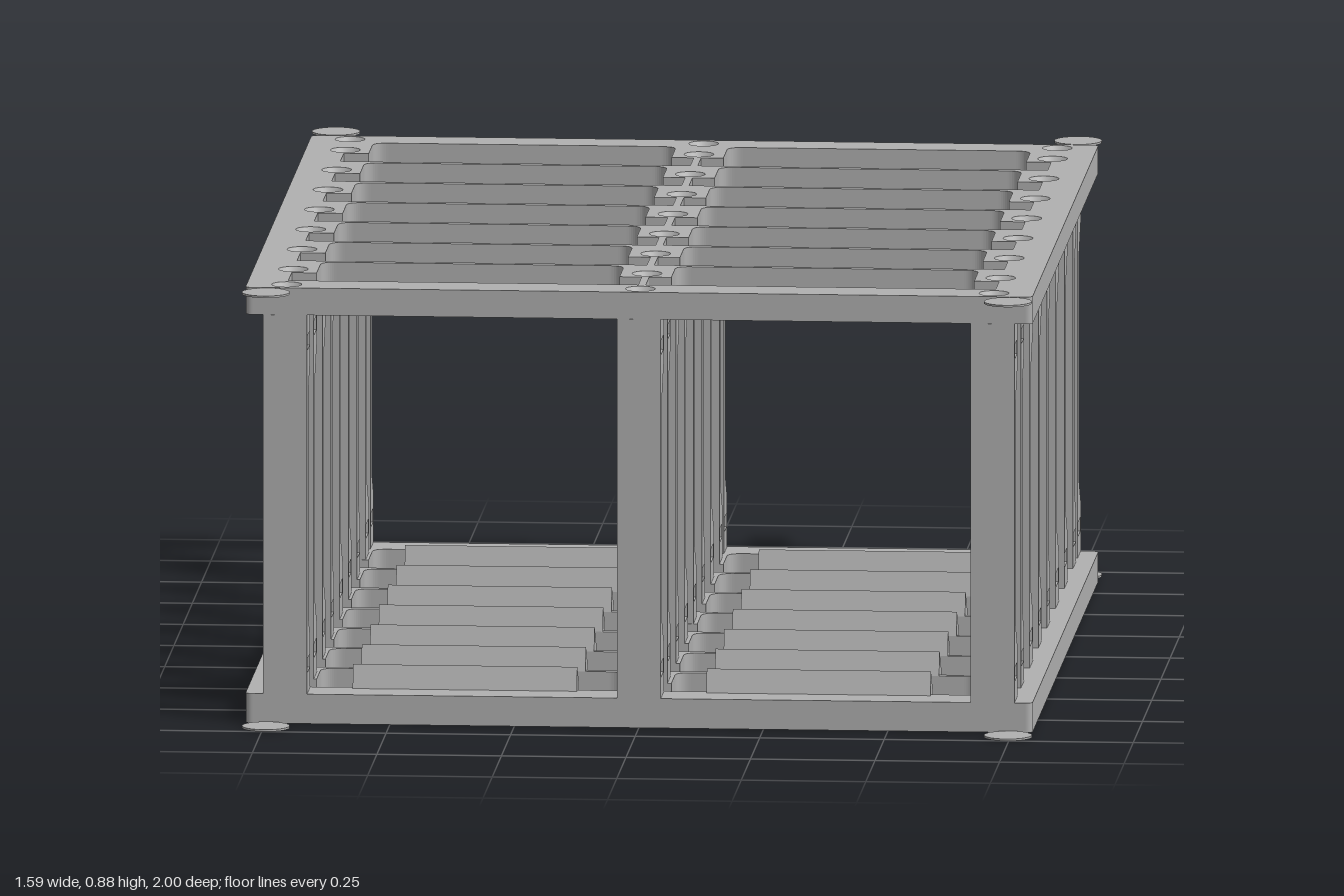
import * as THREE from 'three';

const STEP = 0.235;                       // spacing of the slots along z
const COLUMNS = [-0.71, 0, 0.71];         // x of the three post columns
const POSTS = [0.858, -0.86];             // z of the post rows
for (let k = 0; k < 7; k++) POSTS.push(-0.733 + k * STEP);
const barZ = (k) => -0.598 + (k - 1) * STEP;
const PLATES = { bottom: 0.06, top: 0.055 };
const HEIGHT = 0.885;

const poly = (pts) => new THREE.Shape(pts.map(([x, y]) => new THREE.Vector2(x, y)));

// Extrude a profile drawn in (-z, y) along +x
function extrudeX(shape, depth) {
  return new THREE.ExtrudeGeometry(shape, { depth, bevelEnabled: false }).rotateY(Math.PI / 2);
}

// One window in a plate: rounded at the back, wider past the post pads
function windowPath(side, k) {
  const z0 = barZ(k) + 0.015, z1 = barZ(k + 1), zp = -0.69 + k * STEP, r = 0.03;
  const a = 0.052, b = 0.66, p = new THREE.Path();
  const line = (x, z) => p.lineTo(side * x, -z);
  p.moveTo(side * (a + r), -z0);
  line(b - r, z0);
  p.quadraticCurveTo(side * b, -z0, side * b, -(z0 + r));
  line(b, zp);
  line(0.71, zp);
  line(0.71, z1);
  line(0.0075, z1);
  line(0.0075, zp);
  line(a, zp);
  line(a, z0 + r);
  p.quadraticCurveTo(side * a, -z0, side * (a + r), -z0);
  return p;
}

function plateGeometry(height) {
  const X = 0.79, Z = 0.9, r = 0.015, s = new THREE.Shape();
  s.moveTo(-X + r, -Z);
  s.lineTo(X - r, -Z);
  s.quadraticCurveTo(X, -Z, X, -Z + r);
  s.lineTo(X, Z - r);
  s.quadraticCurveTo(X, Z, X - r, Z);
  s.lineTo(-X + r, Z);
  s.quadraticCurveTo(-X, Z, -X, Z - r);
  s.lineTo(-X, -Z + r);
  s.quadraticCurveTo(-X, -Z, -X + r, -Z);
  for (let k = 0; k < 7; k++) for (const side of [-1, 1]) s.holes.push(windowPath(side, k));
  for (const x of COLUMNS) for (const z of POSTS) {
    s.holes.push(new THREE.Path().absarc(x, -z, 0.03, 0, Math.PI * 2, true));
  }
  return new THREE.ExtrudeGeometry(s, { depth: height, bevelEnabled: false, curveSegments: 12 })
    .rotateX(-Math.PI / 2);
}

// Post profile: slim shank with wide tapered ends, optionally with nut pockets
function postShape(pockets) {
  const f = 0.0425, t = -0.0055;
  const s = poly([[-f, 0.06], [f, 0.06], [f, 0.16], [t, 0.21], [t, 0.67], [f, 0.73], [f, 0.83], [-f, 0.83]]);
  if (pockets) for (const [y0, y1] of [[0.102, 0.13], [0.757, 0.786]]) {
    s.holes.push(poly([[-0.032, y0], [-0.032, y1], [0.032, y1], [0.032, y0]]));
  }
  return s;
}

export function createModel() {
  const model = new THREE.Group();
  const grey = new THREE.MeshStandardMaterial({ color: 0xb0b0b0 });
  grey.name = 'grey plastic';
  const add = (parent, name, geometry, x = 0, y = 0, z = 0) => {
    const mesh = new THREE.Mesh(geometry, grey);
    mesh.name = name;
    mesh.position.set(x, y, z);
    parent.add(mesh);
    return mesh;
  };
  const group = (name) => {
    const g = new THREE.Group();
    g.name = name;
    model.add(g);
    return g;
  };

  // Top and bottom plates with countersunk screw holes
  for (const [name, h] of Object.entries(PLATES)) {
    const top = name === 'top';
    add(model, name + 'Plate', plateGeometry(h), 0, top ? HEIGHT - h : 0, 0);
    const holes = group(name + 'ScrewHoles');
    const funnel = new THREE.LatheGeometry(
      [[0.03, h], [0.016, h - 0.014], [0.016, h - 0.014], [0.016, 0]].map(([x, y]) => new THREE.Vector2(x, y)), 24);
    if (!top) funnel.rotateX(Math.PI);
    for (const x of COLUMNS) for (const z of POSTS) {
      add(holes, 'screwHole', funnel, x, top ? HEIGHT - h : h, z);
    }
    // Thin corner discs
    const discs = group(name + 'CornerDiscs');
    const disc = new THREE.CylinderGeometry(0.048, 0.048, 0.004, 32);
    for (const x of [-0.745, 0.745]) for (const z of [-0.952, 0.952]) {
      add(discs, 'cornerDisc', disc, x, top ? HEIGHT - 0.002 : 0.002, z);
    }
  }

  // Posts: a solid back layer and a pocketed layer open toward +x
  const posts = group('posts');
  const solid = extrudeX(postShape(false), 0.02);
  const pocketed = extrudeX(postShape(true), 0.068);
  for (const x of COLUMNS) for (const z of POSTS) {
    add(posts, 'postBack', solid, x - 0.044, 0, z);
    add(posts, 'postPocketed', pocketed, x - 0.024, 0, z);
  }

  // Sloped ledges behind each bar of the bottom plate
  const ledges = group('ledges');
  const ledge = extrudeX(poly([[-0.015, 0.001], [0, 0.001], [0.052, 0.05], [0.052, 0.06], [0, 0.107], [-0.015, 0.06]]), 0.45);
  for (let k = 1; k <= 7; k++) for (const x of [-0.58, 0.13]) {
    add(ledges, 'ledge', ledge, x, 0, barZ(k));
  }
  return model;
}
